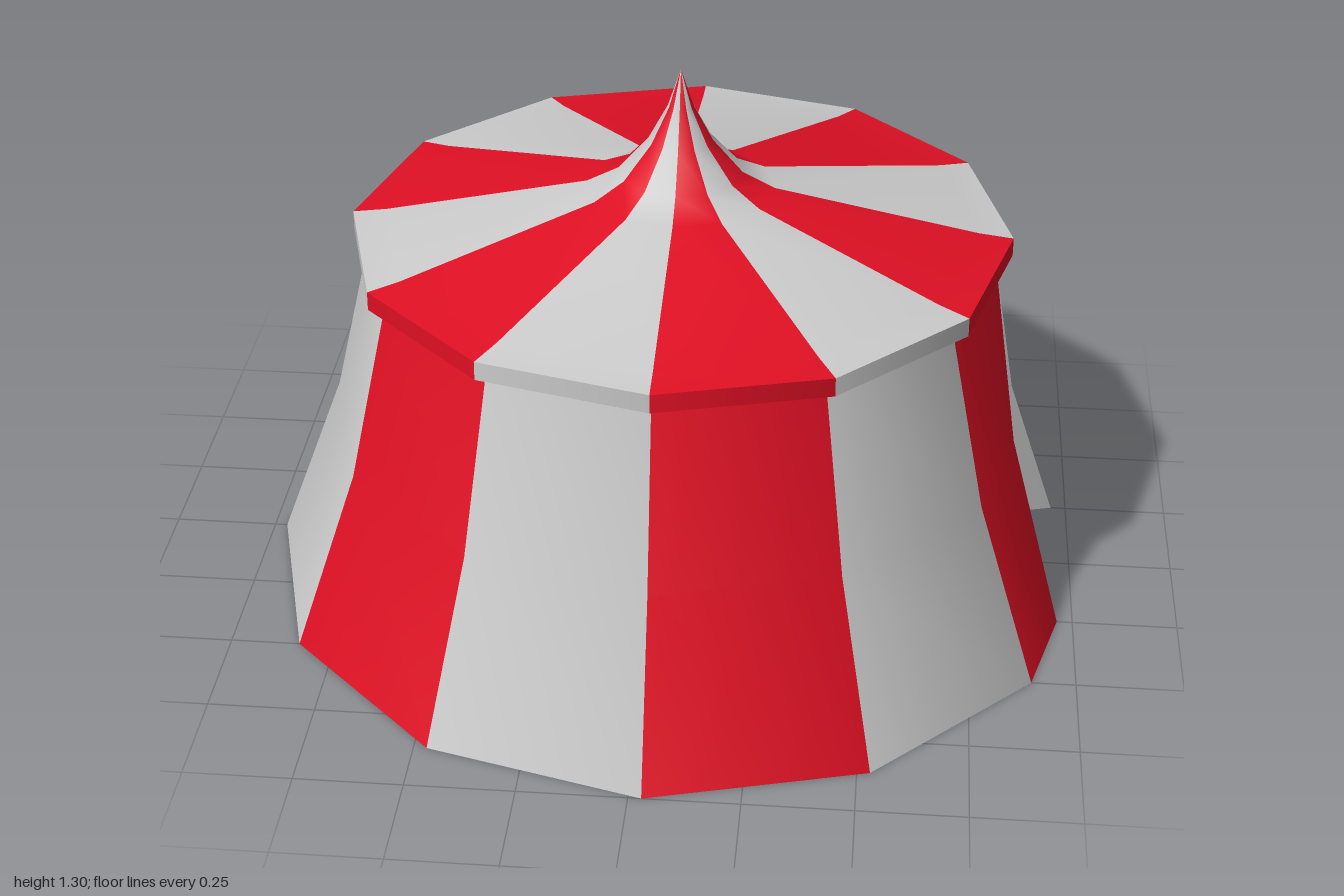
import * as THREE from 'three';

const SIDES = 12, STEP = Math.PI * 2 / SIDES, THICK = 0.06, EAVE = 0.86;
const red = new THREE.MeshStandardMaterial({ color: 0xe01024 });
const grey = new THREE.MeshStandardMaterial({ color: 0xcccccc });
const jambs = [red, grey].map((m) => {
  const c = m.clone();
  c.side = THREE.DoubleSide;
  return c;
});

// profiles as [radius, height]
const wall = [[1, 0], [0.84, 0.43], [0.74, EAVE]];
const roof = [[0.78, 0.905], [0.7, 0.915], [0.22, 1.012], [0.145, 1.05], [0.075, 1.13], [0.03, 1.215], [0, 1.305]];
const inner = wall.map(([r, y]) => [r - THICK, y]);
const ceiling = [[0.68, EAVE], [0.2, 0.96], [0.1, 1.03], [0, 1.2]];

// one flat-sided sector of a lathe; sector k spans angles k..k+1 from +x toward +z
function sector(profile, k) {
  const points = profile.map(([r, y]) => new THREE.Vector2(r, y));
  return new THREE.LatheGeometry(points, 1, Math.PI / 2 - (k + 1) * STEP, STEP);
}

// share of a door-side panel that is cut away at height y
function cut(y) {
  const f = 1 - y / EAVE;
  return 0.7 * f - 0.2 * f * f;
}

// slants the door-side edge of the two panels that meet at the doorway
function trimDoor(geo, k) {
  if (k !== 0 && k !== SIDES - 1) return geo;
  const p = geo.attributes.position, n = p.count / 2;
  const a = new THREE.Vector3(), b = new THREE.Vector3();
  for (let j = 0; j < n; j++) {
    const edge = k === 0 ? n + j : j, far = k === 0 ? j : n + j;
    a.fromBufferAttribute(p, edge);
    b.fromBufferAttribute(p, far);
    a.lerp(b, cut(a.y));
    p.setXYZ(edge, a.x, a.y, a.z);
  }
  return geo;
}

// cloth thickness along one side of the doorway
function jamb(side) {
  const pos = [], idx = [];
  wall.forEach(([r, y], j) => {
    const t = cut(y);
    for (const q of [r, r - THICK]) {
      pos.push(q * (1 - t + t * Math.cos(STEP)), y, side * q * t * Math.sin(STEP));
    }
    if (j) idx.push(2 * j - 2, 2 * j - 1, 2 * j, 2 * j - 1, 2 * j + 1, 2 * j);
  });
  const geo = new THREE.BufferGeometry();
  geo.setAttribute('position', new THREE.Float32BufferAttribute(pos, 3));
  geo.setIndex(idx);
  geo.computeVertexNormals();
  return geo;
}

export function createModel() {
  const tent = new THREE.Group();
  tent.name = 'stripedTent';
  const add = (name, geo, mat) => {
    const mesh = new THREE.Mesh(geo, mat);
    mesh.name = name;
    tent.add(mesh);
  };

  for (let k = 0; k < SIDES; k++) {
    const mat = k % 2 ? grey : red;
    // striped outside
    add('wallPanel', trimDoor(sector(wall, k), k), mat);
    add('wallHem', trimDoor(sector([[1 - THICK, 0], [1, 0]], k), k), mat);
    add('eaveUnderside', sector([[0.68, EAVE], [0.78, EAVE]], k), mat);
    add('eaveBand', sector([[0.78, EAVE], [0.78, 0.905]], k), mat);
    add('roofPanel', sector(roof, k), mat);
    // plain lining
    add('wallLining', trimDoor(sector([...inner].reverse(), k), k), red);
    add('roofLining', sector([...ceiling].reverse(), k), red);
  }

  // doorway edges
  add('doorEdgeFront', jamb(1), jambs[0]);
  add('doorEdgeBack', jamb(-1), jambs[1]);

  tent.position.x = 0.03;
  const model = new THREE.Group();
  model.name = 'tent';
  model.add(tent);
  return model;
}
